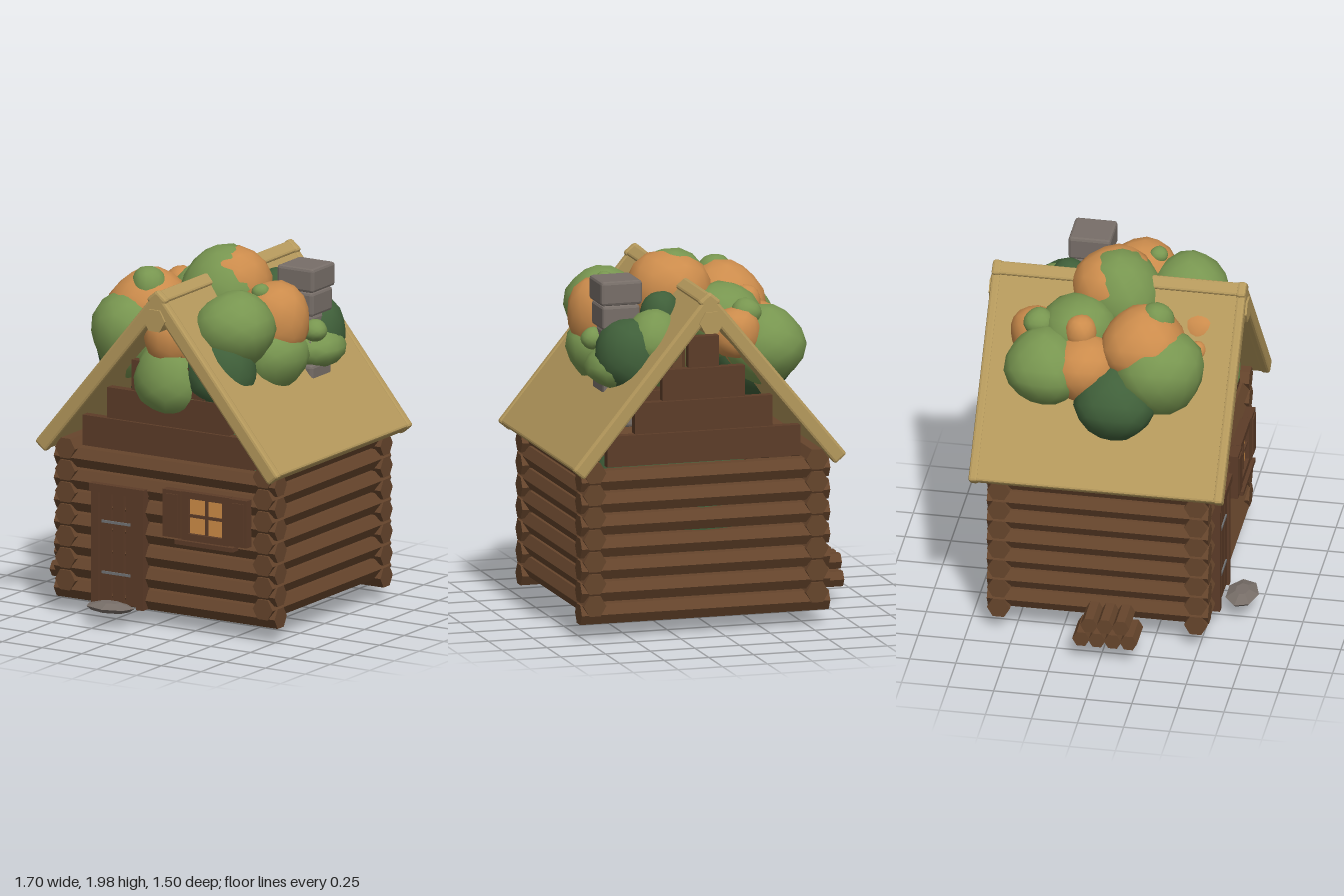
import * as THREE from 'three';
import { mergeVertices } from 'three/addons/utils/BufferGeometryUtils.js';
import { RoundedBoxGeometry } from 'three/addons/geometries/RoundedBoxGeometry.js';

export function createModel() {
  const model = new THREE.Group();
  model.name = 'treeCabin';

  const paint = (name, color) => {
    const m = new THREE.MeshStandardMaterial({ color });
    m.name = name;
    return m;
  };
  const bark = paint('logBrown', 0x66452c);
  const plank = paint('plankBrown', 0x5c3c28);
  const straw = paint('strawTan', 0xb5995c);
  const green = paint('leafGreen', 0x789650);
  const dark = paint('leafDarkGreen', 0x40603a);
  const orange = paint('leafOrange', 0xcc8c4c);
  const stone = paint('stoneGrey', 0x776e68);
  const iron = paint('ironGrey', 0x727476);
  const glow = paint('windowGlow', 0xd08e48);

  let seed = 7;
  const rand = () => (seed = (seed * 16807) % 2147483647) / 2147483647;

  const flat = (g) => {
    const f = g.index ? g.toNonIndexed() : g;
    f.computeVertexNormals();
    return f;
  };
  const add = (name, geo, mat, x, y, z, parent = model) => {
    const mesh = new THREE.Mesh(geo, mat);
    mesh.name = name;
    mesh.position.set(x, y, z);
    parent.add(mesh);
    return mesh;
  };
  const group = (name) => {
    const g = new THREE.Group();
    g.name = name;
    model.add(g);
    return g;
  };
  const box = (name, mat, x0, x1, y0, y1, z0, z1, parent) =>
    add(name, new THREE.BoxGeometry(x1 - x0, y1 - y0, z1 - z0), mat,
      (x0 + x1) / 2, (y0 + y1) / 2, (z0 + z1) / 2, parent);
  const chamferBox = (w, h, d, r) => flat(new RoundedBoxGeometry(w, h, d, 1, r));

  // Six-sided log along x or z, with flats facing up and down
  const logGeo = (length, r, axis) => {
    const g = new THREE.CylinderGeometry(r, r, length, 6);
    g.rotateY(Math.PI / 6).rotateX(Math.PI / 2);
    g.computeBoundingBox();
    if (g.boundingBox.max.y > r * 0.95) g.rotateZ(Math.PI / 6);
    if (axis === 'x') g.rotateY(Math.PI / 2);
    return flat(g);
  };

  // Log walls, with the side courses half a log higher
  const CX = 0.078, CZ = -0.053, STEP = 0.121;
  const walls = group('logWalls');
  const longLog = logGeo(1.39, 0.062, 'x');
  const sideLog = logGeo(1.2, 0.063, 'z');
  for (let i = 0; i < 7; i++) {
    for (const s of [-1, 1]) {
      add('crossLog', longLog, bark, CX, 0.146 + i * STEP, CZ + s * 0.535, walls);
      add('sideLog', sideLog, bark, CX + s * 0.622, 0.195 + i * STEP, CZ, walls);
    }
  }

  // Stepped gable planks
  const gables = group('gables');
  [0.54, 0.385, 0.23, 0.085].forEach((h, i) => {
    for (const s of [-1, 1]) {
      const z = CZ + s * 0.53;
      box('gablePlank', plank, CX - h, CX + h, 0.94 + i * 0.172, 1.107 + i * 0.172, z - 0.025, z + 0.025, gables);
    }
  });

  // Roof slabs meeting at the ridge, with thicker end boards and a ridge log
  const roof = group('roof');
  const RX = 0.083, RUN = 0.767, DROP = 0.93, T = 0.084, APEX = 1.89;
  const len = Math.hypot(RUN, DROP);
  for (const s of [-1, 1]) {
    const side = new THREE.Group();
    side.name = 'roofSide';
    side.position.set(RX + s * (RUN / 2 - (DROP / len) * T / 2), APEX - DROP / 2 - (RUN / len) * T / 2, CZ);
    side.rotation.z = -s * Math.atan2(DROP, RUN);
    roof.add(side);
    add('roofSlab', chamferBox(len - 0.01, T - 0.012, 1.33, 0.012), straw, 0, 0, 0, side);
    for (const e of [-1, 1])
      add('endBoard', chamferBox(len, T, 0.05, 0.014), straw, 0, 0, e * 0.664, side);
  }
  add('ridgeLog', logGeo(1.4, 0.068, 'z'), straw, CX, 1.725, CZ, roof);

  // Chimney of stacked stones
  const chimney = group('chimney');
  [0.2, 0.2, 0.17, 0.17, 0.21, 0.23].forEach((w, i) =>
    add('chimneyStone', chamferBox(w, 0.132, w, 0.016), stone, 0.465, 1.165 + i * 0.134, -0.268, chimney));

  // Door with frame, three planks and strap hinges
  const door = group('door');
  for (const x of [-0.343, -0.062]) box('doorJamb', plank, x - 0.022, x + 0.022, 0.095, 0.72, 0.5, 0.57, door);
  box('doorHeader', plank, -0.375, -0.03, 0.715, 0.76, 0.5, 0.578, door);
  box('doorBack', plank, -0.325, -0.08, 0.1, 0.72, 0.5, 0.53, door);
  for (let i = 0; i < 3; i++) {
    const x = -0.283 + i * 0.081;
    box('doorPlank', plank, x - 0.034, x + 0.034, 0.11, 0.712, 0.52, 0.557, door);
  }
  for (const y of [0.275, 0.555]) box('hinge', iron, -0.305, -0.125, y - 0.007, y + 0.007, 0.557, 0.564, door);

  // Window with frame, bars, sill and shutters
  const win = group('window');
  box('glassPane', glow, 0.245, 0.47, 0.555, 0.765, 0.552, 0.558, win);
  box('windowBack', plank, 0.215, 0.5, 0.525, 0.785, 0.5, 0.552, win);
  for (const x of [0.23, 0.485]) box('frameSide', plank, x - 0.02, x + 0.02, 0.525, 0.785, 0.54, 0.58, win);
  for (const y of [0.543, 0.773]) box('frameRail', plank, 0.21, 0.505, y - 0.018, y + 0.018, 0.54, 0.58, win);
  box('uprightBar', plank, 0.35, 0.366, 0.55, 0.765, 0.55, 0.57, win);
  box('crossBar', plank, 0.245, 0.47, 0.651, 0.667, 0.55, 0.57, win);
  box('sill', plank, 0.178, 0.543, 0.5, 0.524, 0.53, 0.6, win);
  for (const x of [0.15, 0.565]) {
    box('shutter', plank, x - 0.058, x + 0.058, 0.53, 0.79, 0.535, 0.585, win);
    box('shutterPanel', plank, x - 0.04, x + 0.04, 0.55, 0.77, 0.585, 0.592, win);
  }

  // Doorstep, a low faceted stone
  const step = group('doorstep');
  add('stoneTop', flat(new THREE.CylinderGeometry(0.06, 0.145, 0.024, 7)), stone, 0, 0.012, 0, step);
  add('stoneBase', flat(new THREE.CylinderGeometry(0.145, 0.115, 0.022, 7)), stone, 0, -0.011, 0, step);
  step.position.set(-0.19, 0.121, 0.66);
  step.scale.z = 0.62;

  // Firewood pile in two rows
  const pile = group('firewood');
  const billet = logGeo(0.185, 0.047, 'x');
  for (let row = 0; row < 2; row++)
    for (let i = 0; i < 4 - row; i++)
      add('firewoodLog', billet, bark, -0.76, 0.142 + row * 0.088, -0.098 + i * 0.086 + row * 0.043, pile);

  // Lumpy leaf clumps
  const clump = (parent, mat, x, y, z, r, sx = 1, sy = 1, sz = 1) => {
    let g = new THREE.IcosahedronGeometry(1, 2);
    g.deleteAttribute('uv');
    g.deleteAttribute('normal');
    g = mergeVertices(g, 1e-3);
    const p = g.attributes.position, a = rand() * 6, b = rand() * 6, v = new THREE.Vector3();
    for (let i = 0; i < p.count; i++) {
      v.fromBufferAttribute(p, i);
      const k = 0.98 + 0.05 * Math.sin(3 * v.x + a) * Math.cos(3 * v.z + b) + 0.04 * Math.sin(4 * v.y + a + b);
      v.multiplyScalar(k * r);
      p.setXYZ(i, v.x * sx, v.y * sy, v.z * sz);
    }
    g.computeVertexNormals();
    add('leafClump', g, mat, x, y, z, parent);
  };
  const crown = group('treeCrown');
  [
    [orange, 0.11, 1.757, -0.085, 0.235], [green, 0.09, 1.755, -0.05, 0.238],
    [orange, -0.26, 1.64, 0.14, 0.238], [green, -0.3, 1.53, 0.22, 0.25],
    [dark, -0.4, 1.37, 0.01, 0.23], [green, -0.34, 1.51, -0.38, 0.225],
    [green, -0.14, 1.63, -0.24, 0.21], [orange, -0.33, 1.52, -0.18, 0.2],
    [orange, -0.14, 1.6, -0.47, 0.14], [green, -0.21, 1.7, -0.44, 0.085],
    [orange, -0.28, 1.71, -0.2, 0.09], [green, -0.23, 1.79, 0.2, 0.1],
    [orange, -0.15, 1.58, 0.41, 0.05],
    [green, 0.36, 1.64, 0.28, 0.22], [orange, 0.44, 1.65, 0.01, 0.205],
    [dark, 0.31, 1.42, 0.34, 0.21], [green, 0.44, 1.46, 0.06, 0.205],
    [green, 0.45, 1.44, -0.33, 0.2, 1, 0.7], [dark, 0.42, 1.5, -0.4, 0.2],
    [green, 0.31, 1.58, -0.43, 0.17], [dark, 0.24, 1.72, -0.35, 0.11],
    [green, 0.57, 1.56, -0.19, 0.065], [green, 0.41, 1.81, 0.1, 0.05],
    [green, 0.04, 1.36, 0.4, 0.215], [orange, 0.06, 1.59, 0.4, 0.18],
  ].forEach(([m, ...d]) => clump(crown, m, ...d));

  // Undergrowth inside the walls
  const inner = group('innerLeaves');
  [
    [dark, 0.07, 0.61, -0.06, 0.5, 0.96, 0.72, 1.1], [dark, 0.11, 0.29, -0.13, 0.23],
    [orange, -0.03, 0.38, -0.25, 0.19],
  ].forEach(([m, ...d]) => clump(inner, m, ...d));

  // Trunk and knotted roots below
  add('trunk', flat(new THREE.CylinderGeometry(0.06, 0.09, 1.4, 7)), bark, 0.08, 0.76, -0.08);
  const roots = group('roots');
  const knot = flat(new THREE.CylinderGeometry(0.026, 0.032, 0.09, 6));
  for (let i = 0; i < 24; i++) {
    const a = i * 2.4, r = 0.28 * Math.sqrt((i + 0.5) / 24);
    const root = add('root', knot, bark, 0.08 + r * Math.cos(a), 0.052 + r * 0.12, -0.08 + r * Math.sin(a), roots);
    root.rotation.set(rand() * 3, rand() * 3, rand() * 3);
  }
  return model;
}
